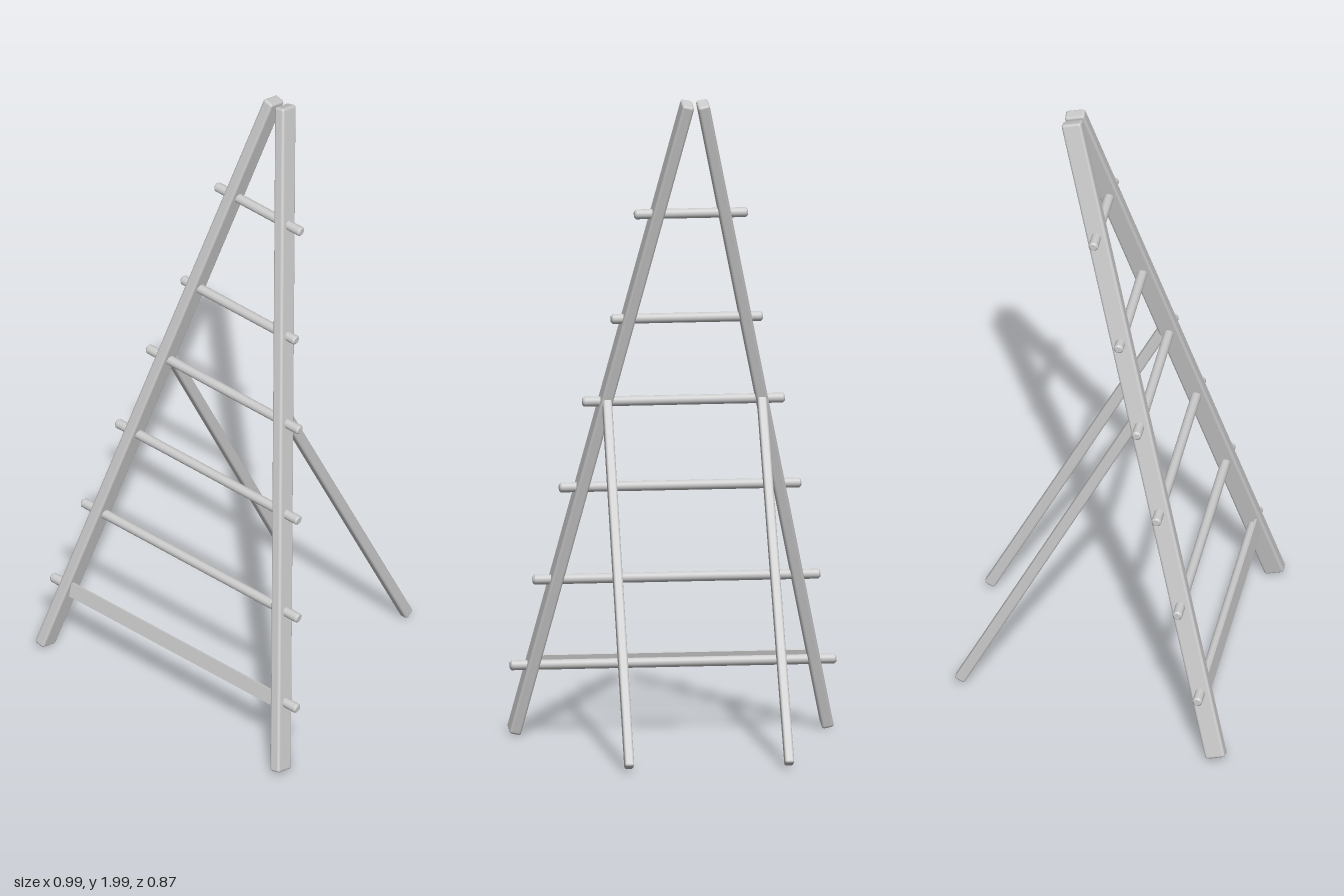
import * as THREE from 'three';
import { RoundedBoxGeometry } from 'three/addons/geometries/RoundedBoxGeometry.js';

const material = new THREE.MeshStandardMaterial({ color: 0xcccccc });
const LEAN = 0.261;   // backward lean of the ladder plane
const SPLAY = 0.218;  // sideways angle of each rail

function addMesh(parent, geometry, name) {
  const mesh = new THREE.Mesh(geometry, material);
  mesh.name = name;
  parent.add(mesh);
  return mesh;
}

// Round bar along x with small bevelled ends
function rungGeometry(halfLength, radius) {
  const b = 0.005;
  const sections = [
    [[0, -halfLength], [radius - b, -halfLength]],
    [[radius - b, -halfLength], [radius, -halfLength + b]],
    [[radius, -halfLength + b], [radius, halfLength - b]],
    [[radius, halfLength - b], [radius - b, halfLength]],
    [[radius - b, halfLength], [0, halfLength]],
  ];
  const points = sections.flat().map(([x, y]) => new THREE.Vector2(x, y));
  return new THREE.LatheGeometry(points, 16).rotateZ(-Math.PI / 2);
}

export function createModel() {
  const model = new THREE.Group();
  model.name = 'leaningLadder';

  // Ladder plane, pivoted at mid height
  const ladder = new THREE.Group();
  ladder.name = 'ladderFrame';
  ladder.position.set(0, 1, 0.143);
  ladder.rotation.x = -LEAN;
  model.add(ladder);
  const along = (y) => (y - 1) / Math.cos(LEAN);

  // Rungs: height and half length
  const rungs = [[0.22, 0.495], [0.49, 0.436], [0.78, 0.367], [1.05, 0.307], [1.31, 0.23], [1.64, 0.172]];
  rungs.forEach(([y, half], i) => {
    addMesh(ladder, rungGeometry(half, 0.015), `rung${i + 1}`).position.y = along(y);
  });

  // Flat slat on the front of the lowest rung
  addMesh(ladder, new THREE.BoxGeometry(0.81, 0.046, 0.008), 'bottomSlat')
    .position.set(0, along(0.222), 0.017);

  for (const [side, s] of [['left', 1], ['right', -1]]) {
    // Side rail, leaning in to meet its twin at the top
    const rail = addMesh(ladder, new RoundedBoxGeometry(0.036, 2.095, 0.062, 3, 0.008), `${side}Rail`);
    rail.position.x = s * 0.249;
    rail.rotation.z = s * SPLAY;

    // Rear prop from the rail down to the ground
    const top = new THREE.Vector3(s * 0.235, 1.055, 0.112);
    const foot = new THREE.Vector3(s * 0.243, 0.018, -0.422);
    const dir = top.clone().sub(foot);
    const prop = addMesh(model, new RoundedBoxGeometry(0.028, dir.length(), 0.034, 3, 0.007), `${side}RearProp`);
    prop.position.copy(top).add(foot).multiplyScalar(0.5);
    prop.quaternion.setFromUnitVectors(new THREE.Vector3(0, 1, 0), dir.normalize());
  }
  return model;
}
